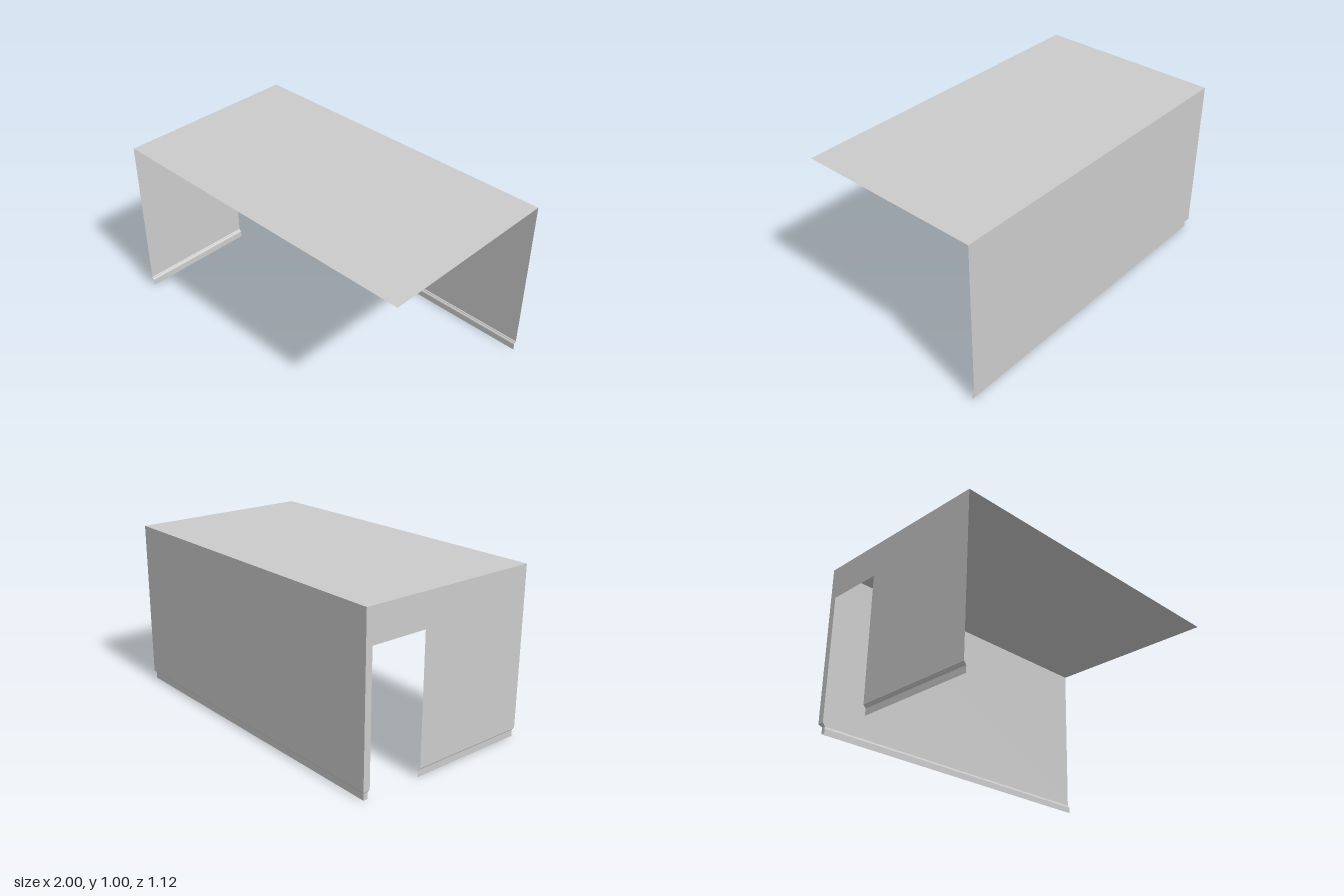
import * as THREE from 'three';

const HX = 1, HZ = 0.56, H = 1;           // half width, half depth, height
const DOOR = { front: -0.175, back: -0.52, top: 0.805 };

// Wall section from ceiling to floor: [inset into the room, height]
const SECTION = [[0, H], [0, 0.055], [0.005, 0.052], [0.007, 0.047], [0.013, 0.043], [0.015, 0.038], [0.015, 0]];

const material = new THREE.MeshStandardMaterial({ color: 0xcccccc, side: THREE.DoubleSide });

// Sheet joining two matching rails of points, one flat facet per step
function sheet(name, railA, railB) {
  const pos = [];
  for (let i = 0; i + 1 < railA.length; i++) {
    const [a, b, c, d] = [railA[i], railA[i + 1], railB[i + 1], railB[i]];
    pos.push(...a, ...b, ...c, ...a, ...c, ...d);
  }
  const geometry = new THREE.BufferGeometry();
  geometry.setAttribute('position', new THREE.Float32BufferAttribute(pos, 3));
  geometry.computeVertexNormals();
  const mesh = new THREE.Mesh(geometry, material);
  mesh.name = name;
  return mesh;
}

// Section placed on the side wall at depth z; mitre = 1 follows the room corner
const sideRail = (z, mitre = 0) => SECTION.map(([inset, y]) => [-HX + inset, y, z + mitre * inset]);
// Section placed on the back wall at position x
const backRail = (x, mitre = 0) => SECTION.map(([inset, y]) => [x + mitre * inset, y, -HZ + inset]);

export function createModel() {
  const group = new THREE.Group();
  group.name = 'room';

  // Ceiling
  group.add(sheet('ceiling',
    [[-HX, H, HZ], [HX, H, HZ]],
    [[-HX, H, -HZ], [HX, H, -HZ]]));

  // Back wall with recessed skirting
  group.add(sheet('backWall', backRail(-HX, 1), backRail(HX)));

  // Side wall on either side of the doorway, and the piece above it
  const sideWall = new THREE.Group();
  sideWall.name = 'sideWall';
  sideWall.add(
    sheet('sideWallFront', sideRail(HZ), sideRail(DOOR.front)),
    sheet('sideWallBack', sideRail(DOOR.back), sideRail(-HZ, 1)),
    sheet('doorHeader',
      [[-HX, H, DOOR.front], [-HX, DOOR.top, DOOR.front]],
      [[-HX, H, DOOR.back], [-HX, DOOR.top, DOOR.back]]));
  group.add(sideWall);

  return group;
}
